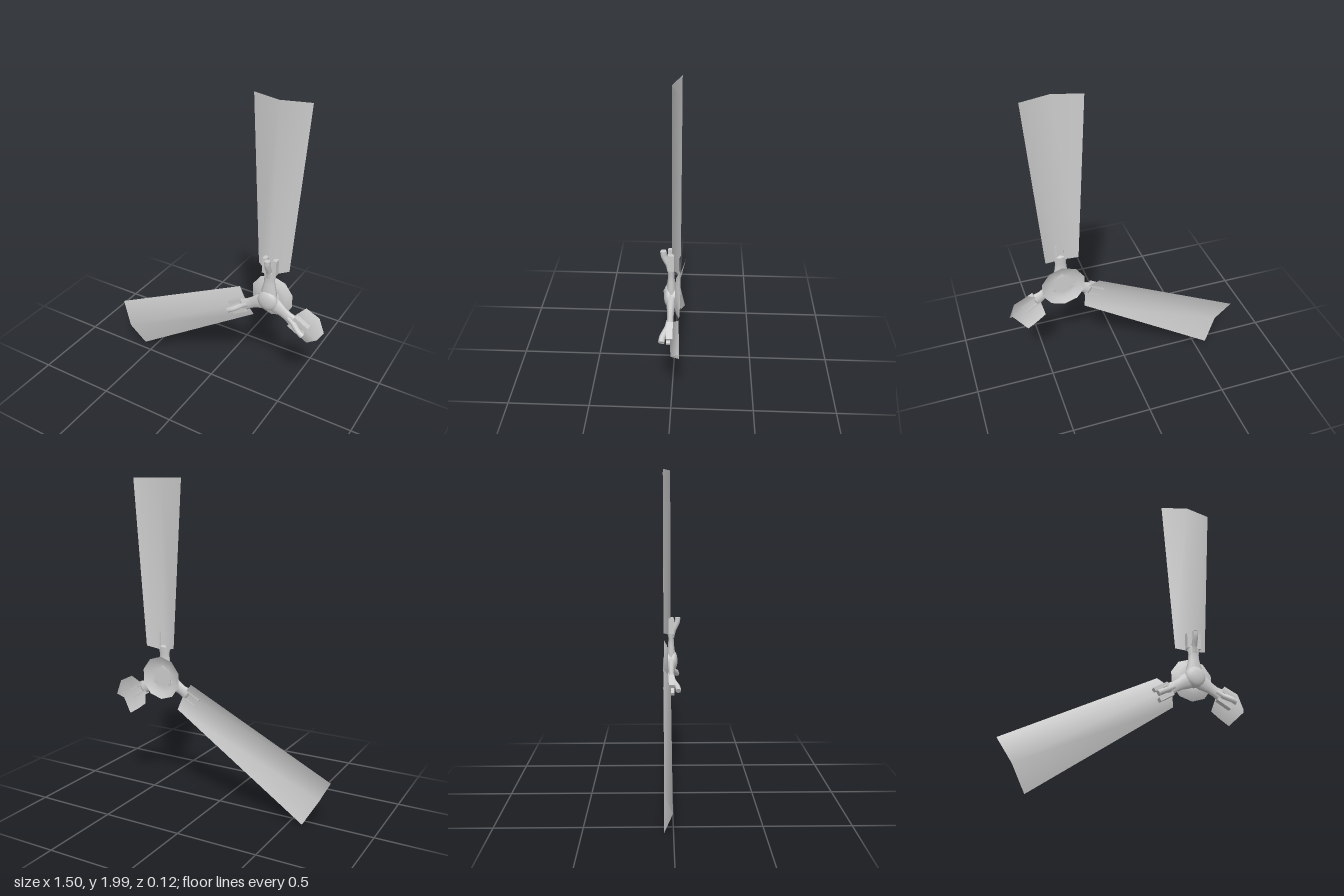
import * as THREE from 'three';

const material = new THREE.MeshStandardMaterial({ color: 0xcccccc, side: THREE.DoubleSide });

function addMesh(parent, name, geometry) {
  const mesh = new THREE.Mesh(geometry, material);
  mesh.name = name;
  parent.add(mesh);
  return mesh;
}

// Thin sheet from rows of three points: edge, ridge, edge
function sheet(rows) {
  const geometry = new THREE.BufferGeometry();
  geometry.setAttribute('position', new THREE.Float32BufferAttribute(rows.flat(2), 3));
  const index = [];
  for (let i = 0; i < rows.length - 1; i++) {
    for (let j = 0; j < 2; j++) {
      const a = i * 3 + j, b = a + 1, c = a + 3, d = a + 4;
      index.push(a, b, d, a, d, c);
    }
  }
  geometry.setIndex(index);
  geometry.computeVertexNormals();
  return geometry;
}

const base = [[-0.1, 0.2, -0.05], [0, 0.17, -0.004], [0.1, 0.2, -0.05]];
const wholeBlade = [base, [[-0.17, 1.23, -0.052], [0, 1.23, -0.005], [0.17, 1.23, -0.052]]];
const brokenBlade = [
  base,
  [[-0.107, 0.296, -0.052], [0, 0.29, -0.004], [0.108, 0.27, -0.052]],
  [[-0.043, 0.374, -0.052], [0, 0.37, -0.01], [0.11, 0.34, -0.055]],
];

// Arm with a two-pronged clamp and a forward-curling hook; radial direction is +y
function makeArm() {
  const arm = new THREE.Group();
  arm.name = 'bladeArm';
  const profile = [[0.052, 0], [0.05, 0.06], [0.037, 0.11], [0.034, 0.15], [0.042, 0.19], [0.038, 0.2], [0, 0.205]];
  const shaft = new THREE.LatheGeometry(profile.map(p => new THREE.Vector2(...p)), 10);
  shaft.scale(1, 1, 0.52);
  addMesh(arm, 'armShaft', shaft);
  for (const side of [-1, 1]) {
    addMesh(arm, 'clampProng', new THREE.BoxGeometry(0.024, 0.1, 0.036)).position.set(side * 0.033, 0.235, 0);
  }
  const path = new THREE.CatmullRomCurve3([
    new THREE.Vector3(0, 0.16, 0.004), new THREE.Vector3(0, 0.2, 0.013),
    new THREE.Vector3(0, 0.235, 0.03), new THREE.Vector3(0, 0.262, 0.041), new THREE.Vector3(0, 0.29, 0.043),
  ]);
  addMesh(arm, 'hook', new THREE.TubeGeometry(path, 8, 0.018, 8));
  // Hook end cap
  const cap = addMesh(arm, 'hookEnd', new THREE.CircleGeometry(0.018, 8));
  cap.position.set(0, 0.29, 0.043);
  cap.rotation.x = -Math.PI / 2;
  return arm;
}

export function createModel() {
  const model = new THREE.Group();
  model.name = 'brokenRotor';
  const rotor = new THREE.Group();
  rotor.name = 'rotor';
  rotor.position.set(0.4, 0.77, 0);
  model.add(rotor);

  // Dished disc behind the arms, with a raised boss at its centre
  const dish = new THREE.LatheGeometry(
    [[0, -0.022], [0.065, -0.022], [0.1, -0.026], [0.138, -0.047]].map(p => new THREE.Vector2(...p)), 10);
  dish.rotateX(Math.PI / 2);
  addMesh(rotor, 'hubDish', dish);
  const boss = new THREE.CylinderGeometry(0.058, 0.062, 0.03, 20);
  boss.rotateX(Math.PI / 2);
  addMesh(rotor, 'hubBoss', boss).position.z = -0.012;

  // Rounded cap on the front
  const cap = new THREE.LatheGeometry(
    [[0.06, 0], [0.066, 0.012], [0.062, 0.025], [0.045, 0.036], [0.022, 0.041], [0, 0.042]]
      .map(p => new THREE.Vector2(...p)), 16);
  cap.rotateX(Math.PI / 2);
  addMesh(rotor, 'hubCap', cap);

  // Three arms; the last one carries a snapped blade
  [wholeBlade, wholeBlade, brokenBlade].forEach((rows, i) => {
    const arm = makeArm();
    addMesh(arm, rows === brokenBlade ? 'snappedBlade' : 'blade', sheet(rows));
    arm.rotation.z = i * Math.PI * 2 / 3;
    rotor.add(arm);
  });
  return model;
}
